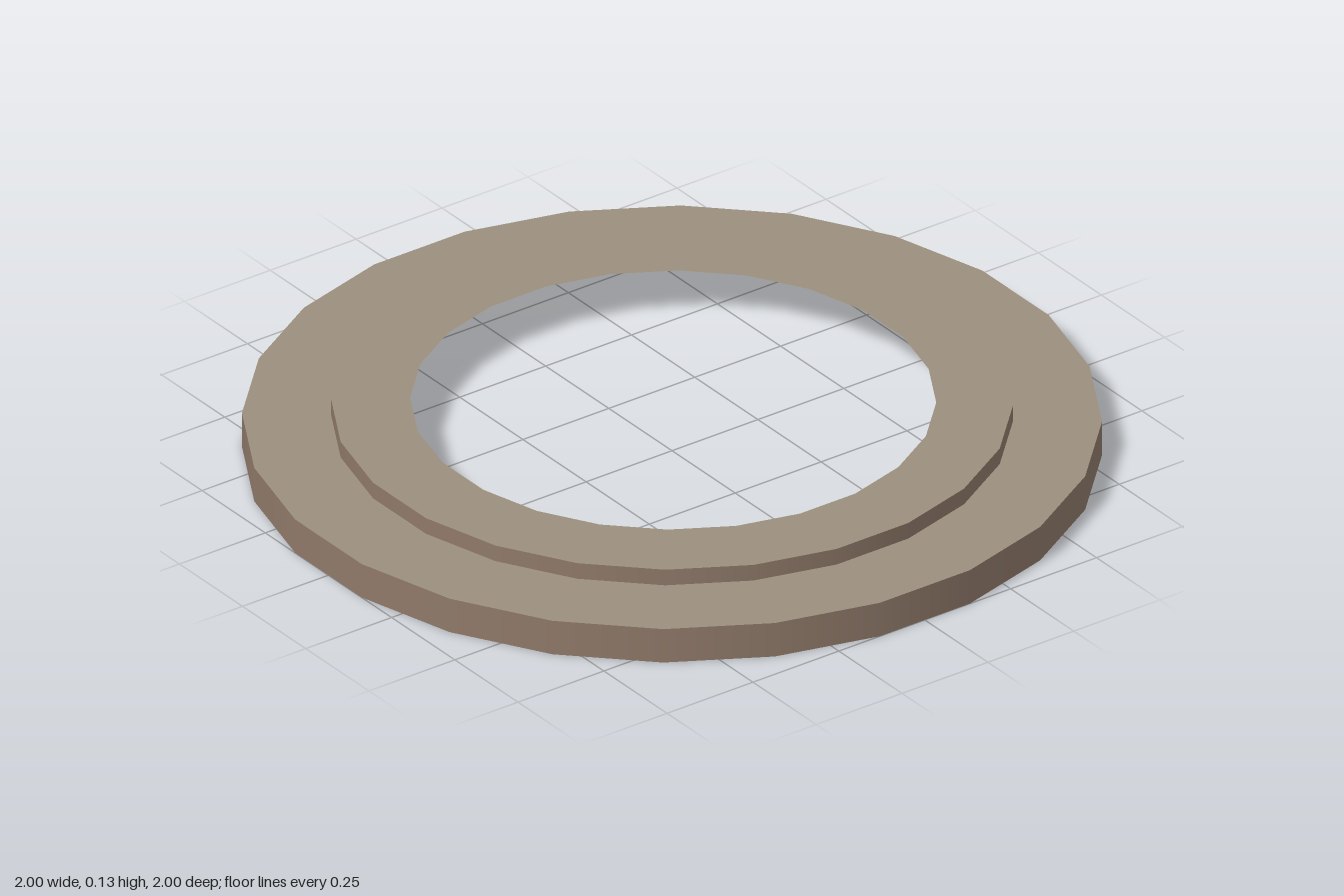
import * as THREE from 'three';

const SIDES = 24;
const START = Math.PI / SIDES; // flat sides face the axes

// Corner points of a regular polygon
function polygon(radius, cx = 0, cy = 0) {
  return Array.from({ length: SIDES }, (_, i) => {
    const a = START + (i * 2 * Math.PI) / SIDES;
    return new THREE.Vector2(cx + radius * Math.cos(a), cy + radius * Math.sin(a));
  });
}

export function createModel() {
  const stone = new THREE.MeshStandardMaterial({ color: 0x9b907d, side: THREE.DoubleSide });
  stone.name = 'warm grey';
  const brown = new THREE.MeshStandardMaterial({ color: 0x8f7969, side: THREE.DoubleSide });
  brown.name = 'muted brown';

  const group = new THREE.Group();
  group.name = 'steppedRing';

  const add = (name, geometry, material) => {
    const mesh = new THREE.Mesh(geometry, material);
    mesh.name = name;
    group.add(mesh);
  };

  // Flat annular face at a given height
  const plate = (name, outer, inner, y, cx = 0, cz = 0) => {
    const shape = new THREE.Shape(polygon(outer));
    shape.holes.push(new THREE.Path(polygon(inner, cx, -cz)));
    add(name, new THREE.ShapeGeometry(shape).rotateX(-Math.PI / 2).translate(0, y, 0), stone);
  };

  // Open band between two heights
  const wall = (name, radius, bottom, top) => {
    const band = new THREE.CylinderGeometry(radius, radius, top - bottom, SIDES, 1, true, START);
    add(name, band.translate(0, (top + bottom) / 2, 0), brown);
  };

  // Wide lower ring, hollow underneath
  wall('outerRim', 1.0086, 0, 0.09);
  plate('lowerPlate', 1.0086, 0.775, 0.09);

  // Raised inner ring, its rim reaching below the lower plate
  wall('innerRim', 0.8, 0.06, 0.132);
  plate('upperPlate', 0.8, 0.617, 0.132, -0.005, -0.007);

  return group;
}
